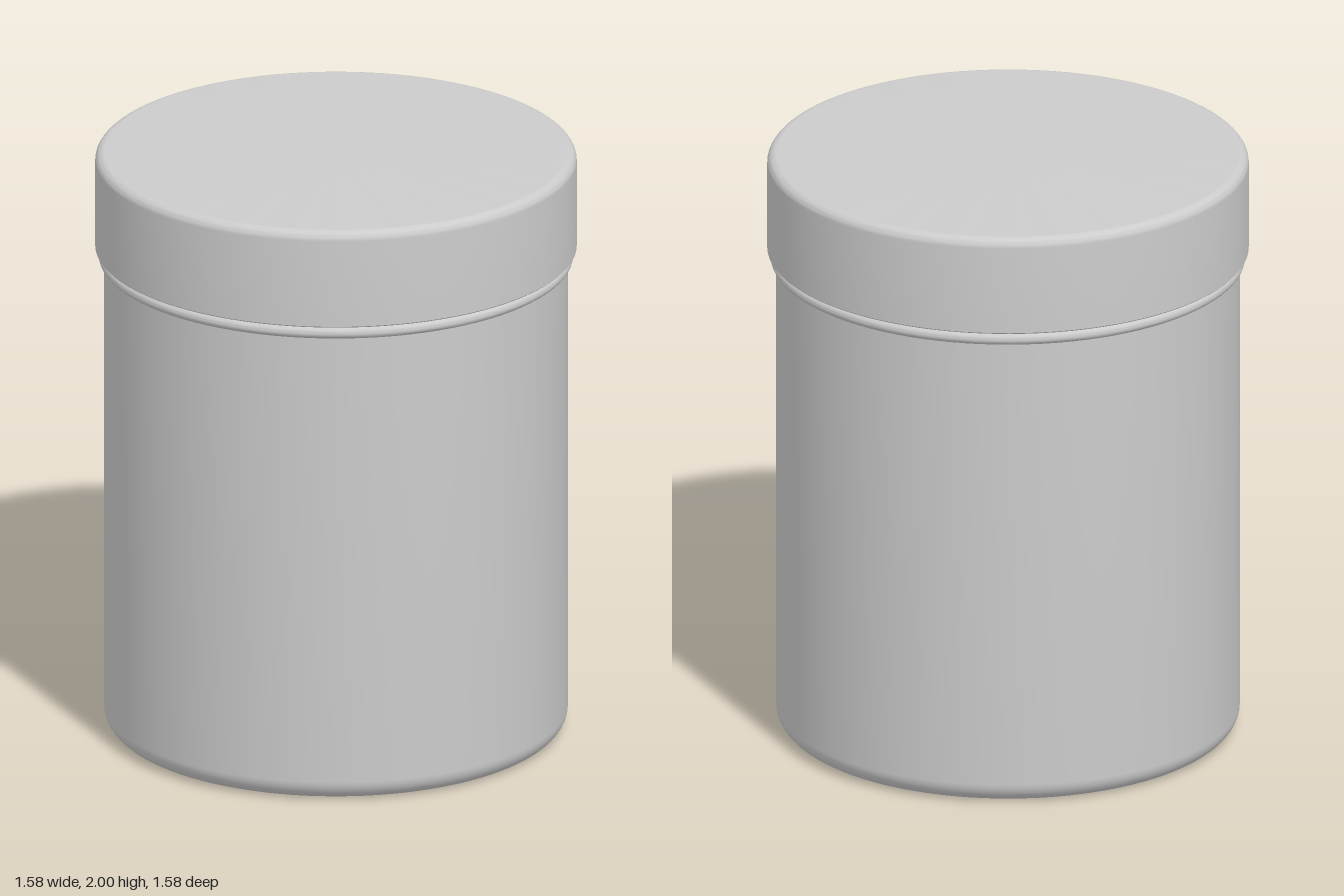
import * as THREE from 'three';
import { toCreasedNormals } from 'three/addons/utils/BufferGeometryUtils.js';

const SEGMENTS = 96;

// Points of a rounded corner, from angle a0 to a1 in degrees
function arc(cx, cy, r, a0, a1, steps = 8) {
  return Array.from({ length: steps + 1 }, (_, i) => {
    const a = THREE.MathUtils.degToRad(a0 + ((a1 - a0) * i) / steps);
    return [cx + r * Math.cos(a), cy + r * Math.sin(a)];
  });
}

// Turned part: profile runs up the outside and down the inside
function turned(name, profile, material) {
  const points = profile.map(([x, y]) => new THREE.Vector2(Math.max(x, 0), y));
  const geometry = toCreasedNormals(new THREE.LatheGeometry(points, SEGMENTS), Math.PI / 6);
  const mesh = new THREE.Mesh(geometry, material);
  mesh.name = name;
  return mesh;
}

export function createModel() {
  const group = new THREE.Group();
  group.name = 'lidded jar';
  const material = new THREE.MeshStandardMaterial({ color: 0xcccccc });

  // Hollow jar body: rounded foot, straight wall, bead below the lid, neck inside the lid
  const bodyR = 0.762;
  const foot = 0.07;
  const body = [
    [0, 0],
    [bodyR - foot - 0.005, 0],
    ...arc(bodyR - foot, foot, foot, -90, 0, 10),
    [bodyR, foot + 0.005],
    [bodyR, 1.62],
    ...arc(0.759, 1.641, 0.021, -80, 80, 10),
    [0.745, 1.662],
    [0.745, 1.92],
    [0.7, 1.92],
    [0.7, 0.12],
    ...arc(0.65, 0.11, 0.05, 0, -90, 6),
    [0, 0.06],
  ];
  group.add(turned('jarBody', body, material));

  // Cap-shaped lid: hollow underneath, softly rounded top edge
  const lidR = 0.791;
  const round = 0.032;
  const lid = [
    [0, 1.93],
    [0.755, 1.93],
    [0.755, 1.667],
    [lidR - 0.004, 1.667],
    [lidR, 1.671],
    [lidR, 2 - round - 0.003],
    ...arc(lidR - round, 2 - round, round, 0, 90),
    [lidR - round - 0.003, 2],
    [0, 2],
  ];
  group.add(turned('lid', lid, material));

  return group;
}
